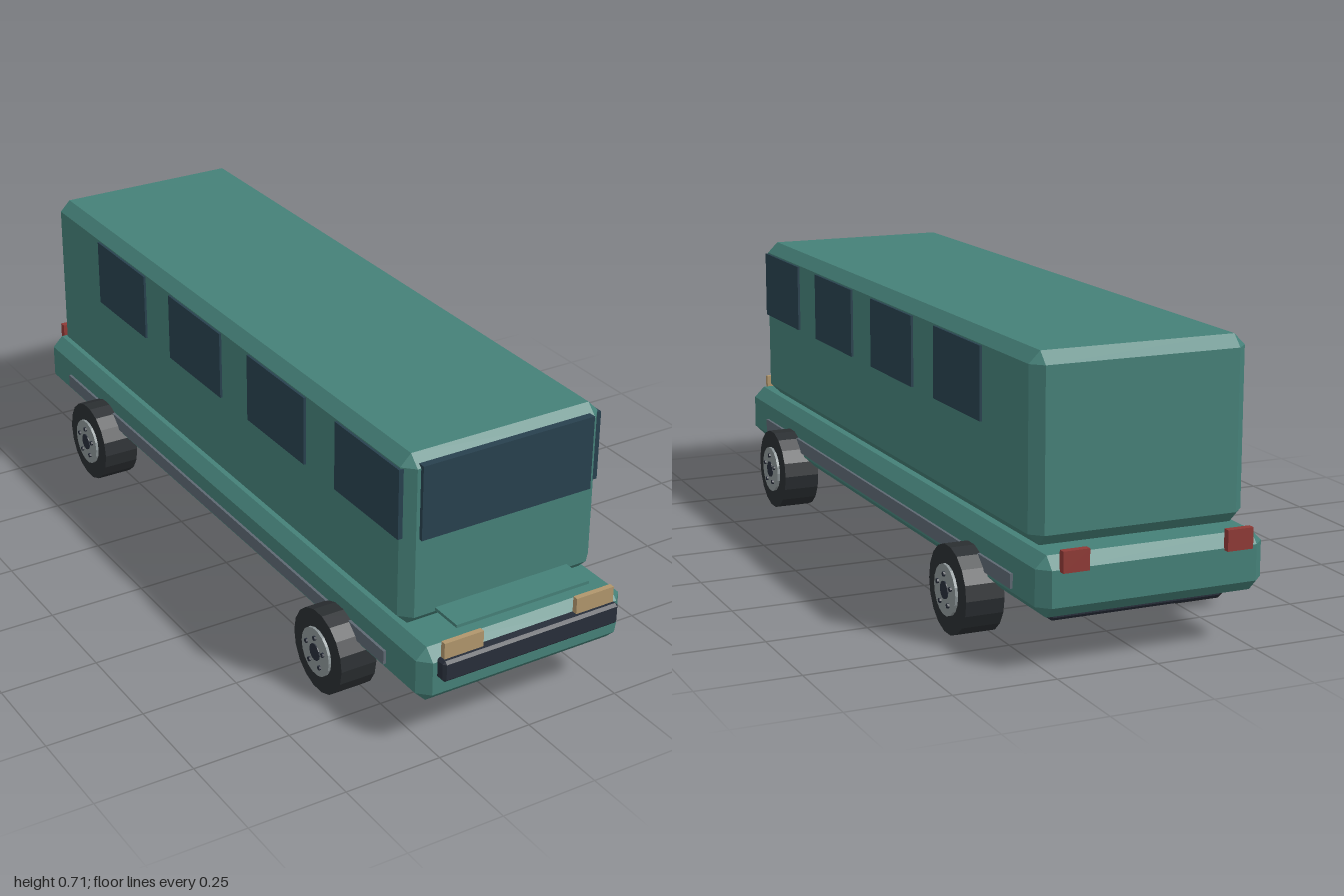
import * as THREE from 'three';
import { ConvexGeometry } from 'three/addons/geometries/ConvexGeometry.js';

const mat = (color) => new THREE.MeshStandardMaterial({ color, flatShading: true });
const paint = mat(0x458078), glass = mat(0x28414e), dark = mat(0x272d39), rubber = mat(0x2a2e31),
  steel = mat(0x8b9496), trim = mat(0x5d6872), lampMat = mat(0xb0966c), tailMat = mat(0x8f3a36);

// Box given by its limits, with every edge chamfered by c (0 = plain box)
function block(name, [x0, x1], [y0, y1], [z0, z1], c, material) {
  const h = [(x1 - x0) / 2, (y1 - y0) / 2, (z1 - z0) / 2];
  let geometry;
  if (c > 0) {
    const pts = [];
    for (const sx of [-1, 1]) for (const sy of [-1, 1]) for (const sz of [-1, 1])
      for (let outer = 0; outer < 3; outer++) {
        const p = h.map((v, i) => (i === outer ? v : v - c));
        pts.push(new THREE.Vector3(sx * p[0], sy * p[1], sz * p[2]));
      }
    geometry = new ConvexGeometry(pts);
  } else geometry = new THREE.BoxGeometry(h[0] * 2, h[1] * 2, h[2] * 2);
  const mesh = new THREE.Mesh(geometry, material);
  mesh.name = name;
  mesh.position.set((x0 + x1) / 2, (y0 + y1) / 2, (z0 + z1) / 2);
  return mesh;
}

// Wheel with its axle along x: tyre, rim, centre cap and a ring of bolts on both faces
function makeWheel(name) {
  const wheel = new THREE.Group();
  wheel.name = name;
  const disc = (part, r, width, sides, material, y = 0, z = 0) => {
    const mesh = new THREE.Mesh(new THREE.CylinderGeometry(r, r, width, sides).rotateZ(Math.PI / 2), material);
    mesh.name = part;
    mesh.position.set(0, y, z);
    wheel.add(mesh);
  };
  disc('tyre', 0.108, 0.096, 18, rubber);
  disc('rim', 0.062, 0.11, 18, steel);
  disc('centreCap', 0.022, 0.115, 12, dark);
  for (let i = 0; i < 5; i++) {
    const a = (i / 5) * Math.PI * 2;
    disc('bolt', 0.006, 0.12, 6, dark, Math.cos(a) * 0.039, Math.sin(a) * 0.039);
  }
  return wheel;
}

export function createModel() {
  const bus = new THREE.Group();
  bus.name = 'bus';

  // Main volumes
  bus.add(
    block('lowerBody', [-0.285, 0.285], [0.13, 0.272], [-0.984, 0.973], 0.028, paint),
    block('cabin', [-0.27, 0.27], [0.275, 0.713], [-0.915, 0.87], 0.028, paint),
    block('chassis', [-0.22, 0.22], [0.098, 0.15], [-0.9, 0.888], 0.008, dark),
  );

  // Front details
  bus.add(
    block('windshield', [-0.233, 0.233], [0.506, 0.694], [0.86, 0.88], 0, glass),
    block('hoodPanel', [-0.185, 0.185], [0.305, 0.313], [0.86, 0.957], 0, paint),
    block('frontBumper', [-0.245, 0.245], [0.2, 0.255], [0.965, 1], 0.007, dark),
  );

  // Parts repeated on both sides
  const windowStarts = [0.578, 0.171, -0.236, -0.643];
  for (const side of [-1, 1]) {
    const span = (a, b) => (side > 0 ? [a, b] : [-b, -a]);
    const prefix = side > 0 ? 'left' : 'right';
    for (const z of windowStarts)
      bus.add(block(prefix + 'Window', span(0.262, 0.276), [0.506, 0.682], [z, z + 0.27], 0, glass));
    bus.add(
      block(prefix + 'SideTrim', span(0.28, 0.292), [0.168, 0.203], [-0.843, 0.823], 0, trim),
      block(prefix + 'Headlight', span(0.13, 0.236), [0.253, 0.296], [0.972, 0.986], 0, lampMat),
      block(prefix + 'TailLight', span(0.173, 0.238), [0.24, 0.29], [-1, -0.982], 0, tailMat),
    );
    for (const [end, z] of [['Front', 0.62], ['Rear', -0.615]]) {
      const wheel = makeWheel(prefix + end + 'Wheel');
      wheel.position.set(side * 0.297, 0.108, z);
      bus.add(wheel);
    }
  }
  return bus;
}
